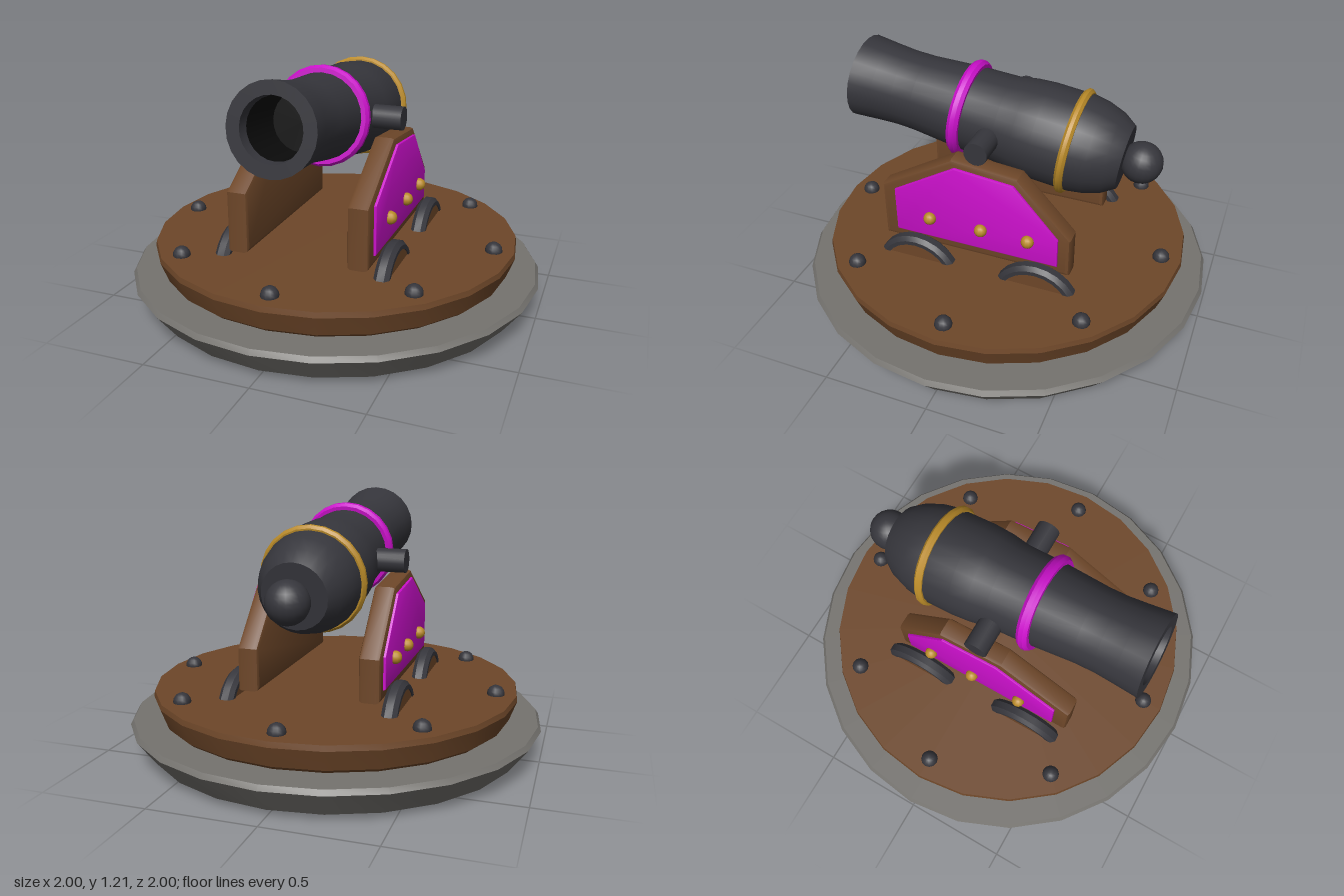
import * as THREE from 'three';
import { toCreasedNormals } from 'three/addons/utils/BufferGeometryUtils.js';

const material = (name, color) => {
  const m = new THREE.MeshStandardMaterial({ color });
  m.name = name;
  return m;
};

export function createModel() {
  const model = new THREE.Group();
  model.name = 'cannon';
  const stone = material('stone', 0x75736f);
  const wood = material('wood', 0x6e4729);
  const iron = material('iron', 0x36363c);
  const bore = material('bore black', 0x0b0b0b);
  const magenta = material('magenta', 0xc90fc9);
  const gold = material('gold', 0xb98a28);

  const add = (parent, name, geometry, mat, x = 0, y = 0, z = 0) => {
    const mesh = new THREE.Mesh(geometry, mat);
    mesh.name = name;
    mesh.position.set(x, y, z);
    parent.add(mesh);
    return mesh;
  };
  // Turned part from [radius, height] pairs
  const turned = (points, sides = 24) => toCreasedNormals(
    new THREE.LatheGeometry(points.map(([r, h]) => new THREE.Vector2(r, h)), sides), 0.5);
  // Bevelled slab from a side outline of [z, y] pairs, centred on x = 0
  const slab = (points, width, bevel) => {
    const shape = new THREE.Shape(points.map(([z, y]) => new THREE.Vector2(z, y)));
    const g = new THREE.ExtrudeGeometry(shape, {
      depth: width - 2 * bevel, bevelThickness: bevel, bevelSize: bevel,
      bevelOffset: -bevel, bevelSegments: 2,
    });
    g.translate(0, 0, bevel - width / 2);
    g.rotateY(-Math.PI / 2);
    return toCreasedNormals(g, 0.5);
  };

  // Round plinth and deck
  add(model, 'stoneBase', turned([[0, 0.03], [0.91, 0.03], [1, 0.15], [0.985, 0.172], [0, 0.172]]), stone);
  add(model, 'woodDeck', turned([[0, 0.165], [0.82, 0.165], [0.85, 0.19], [0.885, 0.285], [0.88, 0.31], [0, 0.31]]), wood);

  // Ring of deck bolts
  const boltShape = new THREE.SphereGeometry(0.041, 12, 8);
  for (let i = 0; i < 8; i++) {
    const a = i * Math.PI / 4;
    add(model, 'deckBolt', boltShape, iron, 0.785 * Math.sin(a), 0.315, 0.785 * Math.cos(a));
  }

  // Carriage sides, mirrored
  const cheek = slab([[0.51, 0.35], [0.51, 0.635], [0.15, 0.853], [-0.17, 0.823],
    [-0.425, 0.55], [-0.425, 0.35]].reverse(), 0.1, 0.018);
  const panel = slab([[0.44, 0.4], [0.44, 0.63], [0.13, 0.82], [-0.155, 0.793],
    [-0.37, 0.55], [-0.37, 0.4]].reverse(), 0.022, 0.006);
  const stud = new THREE.SphereGeometry(0.031, 12, 8);
  const rim = turned([[0.172, -0.036], [0.192, -0.036], [0.21, -0.017], [0.21, 0.017],
    [0.192, 0.036], [0.172, 0.036], [0.172, -0.036]]);
  const hub = turned([[0, -0.03], [0.18, -0.03], [0.18, 0.03], [0, 0.03]]);
  for (const geometry of [rim, hub]) geometry.rotateZ(Math.PI / 2);
  for (const side of [-1, 1]) {
    const carriage = new THREE.Group();
    carriage.name = side > 0 ? 'leftCarriage' : 'rightCarriage';
    model.add(carriage);
    add(carriage, 'cheek', cheek, wood, side * 0.287);
    add(carriage, 'cheekPanel', panel, magenta, side * 0.338);
    for (const z of [0.258, 0, -0.23]) add(carriage, 'stud', stud, gold, side * 0.357, 0.515, z);
    for (const z of [0.313, -0.287]) {
      add(carriage, 'wheelRim', rim, iron, side * 0.386, 0.21, z);
      add(carriage, 'wheelDisc', hub, wood, side * 0.386, 0.21, z);
    }
  }

  // Barrel, tilted about the trunnions
  const gun = new THREE.Group();
  gun.name = 'gun';
  gun.position.set(0, 0.915, 0.025);
  gun.rotation.x = -0.132;
  model.add(gun);
  const alongAxis = (name, points, mat) => add(gun, name, turned(points).rotateX(Math.PI / 2), mat);
  alongAxis('barrel', [[0, -0.6], [0.15, -0.6], [0.19, -0.54], [0.218, -0.46], [0.23, -0.39], [0.231, -0.2],
    [0.224, -0.11], [0.208, -0.02], [0.202, 0.16], [0.184, 0.4], [0.183, 0.5], [0.19, 0.6], [0.2, 0.715],
    [0.14, 0.715], [0.135, 0.66]], iron);
  alongAxis('bore', [[0.14, 0.713], [0.135, 0.4], [0, 0.4]], bore);
  const band = (name, r, s, half, mat) => alongAxis(name, [[r - 0.05, s - half], [r - 0.012, s - half],
    [r, s - half * 0.4], [r, s + half * 0.4], [r - 0.012, s + half], [r - 0.05, s + half]], mat);
  band('frontBand', 0.232, 0.168, 0.027, magenta);
  band('rearBand', 0.25, -0.358, 0.02, gold);
  add(gun, 'breechKnob', new THREE.SphereGeometry(0.097, 20, 14), iron, 0, 0, -0.675);
  const trunnion = toCreasedNormals(new THREE.CylinderGeometry(0.056, 0.056, 0.68, 16), 0.5);
  add(gun, 'trunnion', trunnion.rotateZ(Math.PI / 2), iron);
  // The trunnion is split by the bore, so a liner is not needed: the bore floor sits ahead of it

  return model;
}
